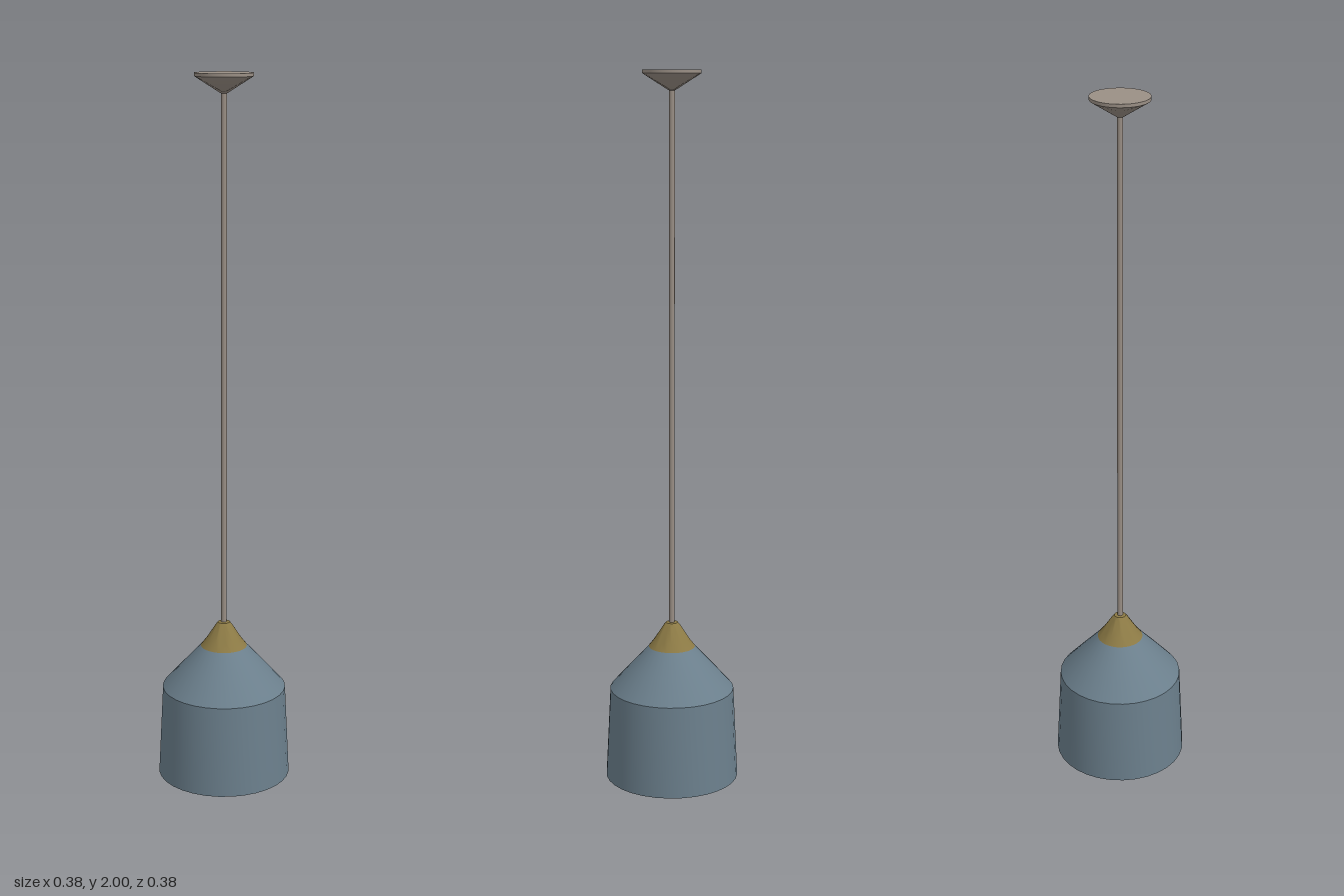
import * as THREE from 'three';
import { toCreasedNormals } from 'three/addons/utils/BufferGeometryUtils.js';

const SIDES = 32;

// Revolve a profile of [radius, height] points, keeping sharp edges crisp
function turned(name, color, profile, sides = SIDES) {
  const points = profile.map(([r, y]) => new THREE.Vector2(r, y));
  const geometry = toCreasedNormals(new THREE.LatheGeometry(points, sides), 0.6);
  const mesh = new THREE.Mesh(geometry, new THREE.MeshStandardMaterial({ color }));
  mesh.name = name;
  return mesh;
}

export function createModel() {
  const lamp = new THREE.Group();
  lamp.name = 'pendantLamp';
  const metal = 0x9a8f85, brass = 0x8c7a45, blue = 0x6b7f8c;

  // Hollow shade: down the inner wall, round the rim and up the outside
  lamp.add(turned('shade', blue, [
    [0, 0.375], [0.058, 0.375], [0.165, 0.257], [0.179, 0],
    [0.19, 0], [0.177, 0.262], [0.12, 0.326], [0.066, 0.385],
  ]));

  // Brass cap on top of the shade
  lamp.add(turned('cap', brass, [
    [0.066, 0.385], [0.05, 0.406], [0.024, 0.447], [0.017, 0.456], [0, 0.458],
  ]));

  // Long thin rod
  const rod = new THREE.Mesh(
    new THREE.CylinderGeometry(0.008, 0.008, 1.51, 16),
    new THREE.MeshStandardMaterial({ color: metal }),
  );
  rod.name = 'rod';
  rod.position.y = 1.205;
  lamp.add(rod);

  // Conical ceiling canopy with a flat top
  lamp.add(turned('canopy', metal, [
    [0, 1.945], [0.009, 1.946], [0.08, 1.991], [0.08, 2], [0, 2],
  ], 48));

  return lamp;
}
